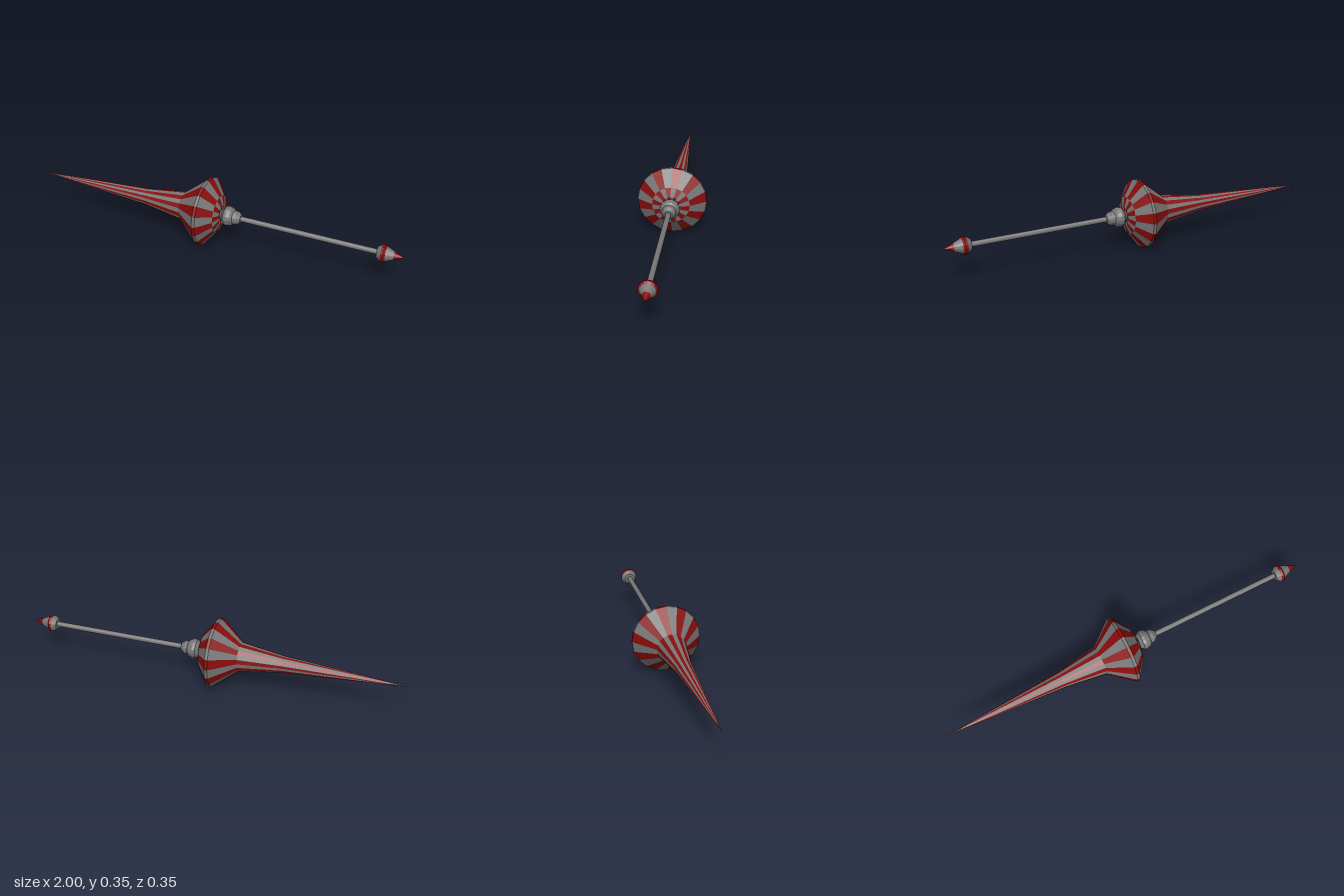
import * as THREE from 'three';
import { mergeGeometries } from 'three/addons/utils/BufferGeometryUtils.js';

const SIDES = 20;
const grey = new THREE.MeshStandardMaterial({ color: 0x777777, flatShading: true, side: THREE.DoubleSide });
const red = new THREE.MeshStandardMaterial({ color: 0x8a0c0c, flatShading: true, side: THREE.DoubleSide });

// Profiles are [position along the lance, radius] pairs
const toPoints = (profile) => profile.map(([along, r]) => new THREE.Vector2(r, along));

function addMesh(parent, name, geometry, material) {
  const mesh = new THREE.Mesh(geometry, material);
  mesh.name = name;
  parent.add(mesh);
}

function addTurned(parent, name, profile, material, sides = 16) {
  addMesh(parent, name, new THREE.LatheGeometry(toPoints(profile), sides), material);
}

// Alternate one-facet-wide strips between red and grey
function addStriped(parent, name, profile, redParity) {
  const strips = [[], []];
  const step = (Math.PI * 2) / SIDES;
  for (let i = 0; i < SIDES; i++) {
    strips[i % 2].push(new THREE.LatheGeometry(toPoints(profile), 1, i * step, step));
  }
  addMesh(parent, name + 'RedStripes', mergeGeometries(strips[redParity]), red);
  addMesh(parent, name + 'GreyStripes', mergeGeometries(strips[1 - redParity]), grey);
}

export function createModel() {
  const lance = new THREE.Group();
  lance.name = 'lance';

  // Long tapering head flaring into the hand guard
  addStriped(lance, 'head', [
    [-1, 0], [-0.36, 0.043], [-0.145, 0.075], [-0.025, 0.175], [-0.01, 0.175], [0.05, 0.095],
  ], 0);
  // Guard's inner ring, with the colours swapped
  addStriped(lance, 'guardInnerRing', [[0.05, 0.095], [0.065, 0.05], [0.06, 0.02]], 1);

  // Collar behind the guard
  addTurned(lance, 'collar', [
    [0.05, 0.025], [0.07, 0.03], [0.085, 0.048], [0.1, 0.051], [0.12, 0.046],
    [0.13, 0.036], [0.15, 0.034], [0.168, 0.02], [0.168, 0],
  ], grey);

  // Shaft
  addTurned(lance, 'shaft', [[0.1, 0.0135], [0.9, 0.0135]], grey, 12);

  // Pommel: cup, red band, cone and red point
  addTurned(lance, 'pommelCup', [[0.868, 0], [0.868, 0.028], [0.89, 0.043]], grey);
  addTurned(lance, 'pommelBand', [[0.89, 0.043], [0.903, 0.045], [0.912, 0.037]], red);
  addTurned(lance, 'pommelCone', [[0.912, 0.037], [0.95, 0.02]], grey);
  addTurned(lance, 'pommelPoint', [[0.95, 0.02], [1, 0]], red);

  // Lay the lance along x, resting on the rim of its guard
  lance.rotation.z = -Math.PI / 2;
  lance.position.y = 0.175;
  const model = new THREE.Group();
  model.add(lance);
  return model;
}
